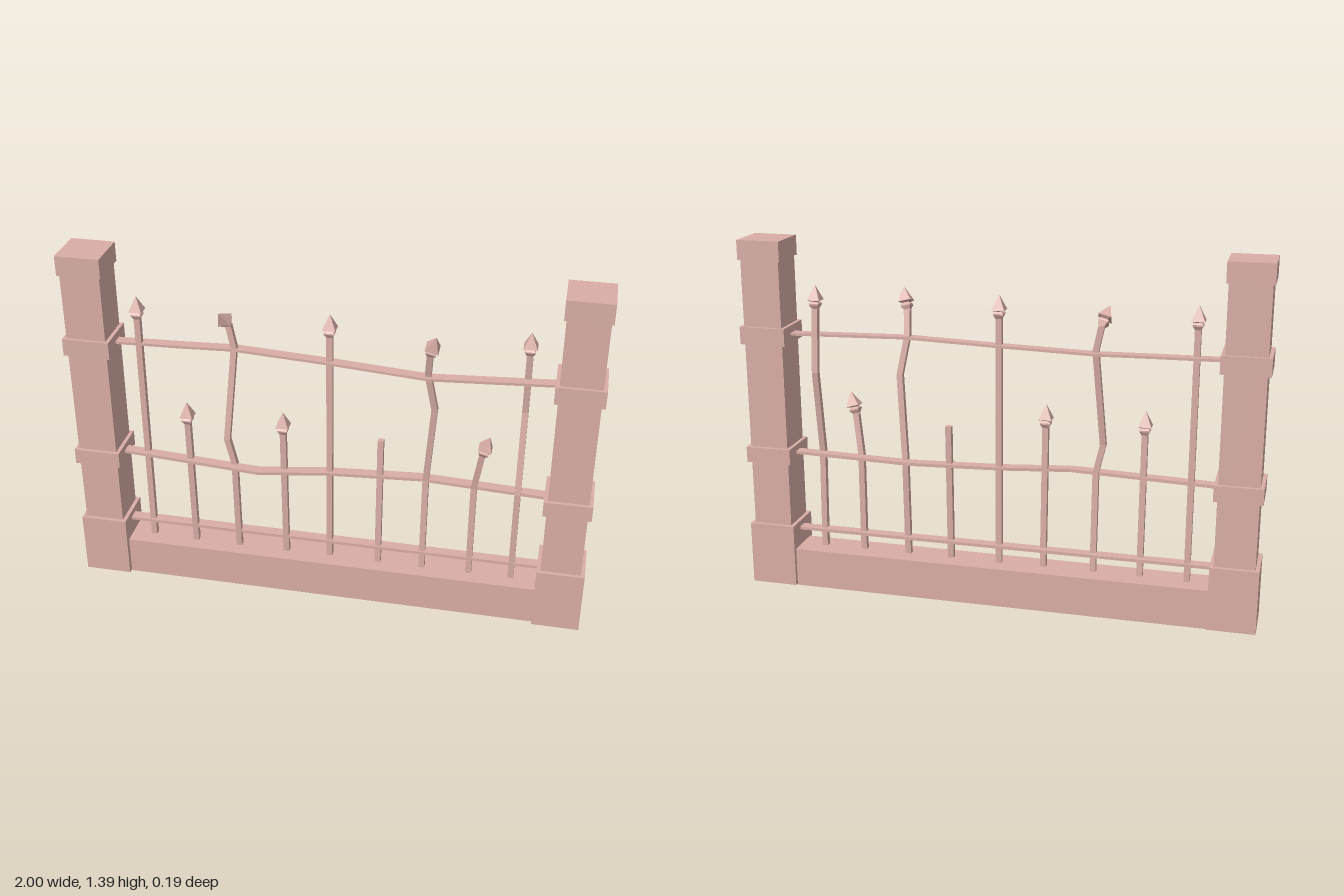
import * as THREE from 'three';

const material = new THREE.MeshStandardMaterial({ color: 0xd9aea6, flatShading: true, side: THREE.DoubleSide });

function add(parent, geometry, name) {
  const mesh = new THREE.Mesh(geometry, material);
  mesh.name = name;
  parent.add(mesh);
  return mesh;
}

// Box between two heights, optionally without its underside
function block(parent, name, w, d, y0, y1, z, open = false) {
  const g = new THREE.BoxGeometry(w, y1 - y0, d);
  if (open) {
    const index = Array.from(g.index.array);
    index.splice(18, 6);
    g.setIndex(index);
  }
  const mesh = add(parent, g, name);
  mesh.position.set(0, (y0 + y1) / 2, z);
  return mesh;
}

// Upright square bar bent through points [x, y, z]
function bentPost(points, w) {
  const n = points.length - 1;
  const g = new THREE.BoxGeometry(w, 1, w, 1, n, 1);
  const p = g.attributes.position;
  for (let i = 0; i < p.count; i++) {
    const [x, y, z] = points[Math.round((p.getY(i) + 0.5) * n)];
    p.setXYZ(i, p.getX(i) + x, y, p.getZ(i) + z);
  }
  g.computeVertexNormals();
  return g;
}

// Flat strip running along x, bent through points [x, z]
function bentRail(points, y, h, w) {
  const n = points.length - 1;
  const g = new THREE.BoxGeometry(1, h, w, n, 1, 1);
  const p = g.attributes.position;
  for (let i = 0; i < p.count; i++) {
    const [x, z] = points[Math.round((p.getX(i) + 0.5) * n)];
    p.setXYZ(i, x, p.getY(i) + y, p.getZ(i) + z);
  }
  g.computeVertexNormals();
  return g;
}

// Four-sided spearhead: flared collar, neck and pyramid, one unit tall
function spearhead(length) {
  const profile = [[0.011, 0], [0.019, 0.16], [0.019, 0.22], [0.012, 0.3], [0.025, 0.36], [0, 1]]
    .map(([r, t]) => new THREE.Vector2(r * Math.SQRT2, t * length));
  return new THREE.LatheGeometry(profile, 4).rotateY(Math.PI / 4);
}

export function createModel() {
  const model = new THREE.Group();
  model.name = 'brokenFence';

  // Pillars
  for (const [side, label] of [[1, 'left'], [-1, 'right']]) {
    const pillar = new THREE.Group();
    pillar.name = label + 'Pillar';
    pillar.position.set(side * 0.909, 0, -0.004);
    block(pillar, 'pillarBase', 0.182, 0.184, 0.005, 0.255, 0, true);
    block(pillar, 'pillarShaft', 0.152, 0.155, 0.25, 1.32, 0);
    block(pillar, 'lowerBand', 0.18, 0.182, 0.513, 0.575, 0);
    block(pillar, 'upperBand', 0.18, 0.177, 0.988, 1.056, 0);
    block(pillar, 'pillarCap', 0.168, 0.172, 1.312, 1.388, 0);
    model.add(pillar);
  }

  // Low wall
  block(model, 'lowWall', 1.64, 0.146, 0, 0.155, -0.007, true);

  // Rails
  const rails = [
    ['bottomRail', 0.225, 0.012, [[-0.83, -0.007], [0.83, -0.007]]],
    ['middleRail', 0.545, 0.012, [[-0.83, -0.005], [-0.27, 0.045], [0, -0.005], [0.35, -0.037], [0.83, -0.007]]],
    ['topRail', 1.022, 0.01, [[-0.83, -0.01], [-0.56, -0.025], [-0.37, -0.04], [0, -0.005], [0.37, 0.04], [0.83, -0.007]]],
  ];
  for (const [name, y, h, points] of rails) add(model, bentRail(points, y, h, 0.042), name);

  // Posts: path of the bar, then the tip of the spearhead (none on the broken one)
  const posts = [
    { path: [[-0.73, 0.15, -0.007], [-0.73, 1.125, -0.007]], tip: [-0.73, 1.215, -0.007] },
    { path: [[-0.55, 0.15, 0], [-0.55, 0.71, 0.02]], tip: [-0.55, 0.803, 0.023] },
    {
      path: [[-0.37, 0.15, 0], [-0.37, 0.55, 0.018], [-0.395, 0.66, 0.02], [-0.368, 1.03, -0.03], [-0.388, 1.125, -0.033]],
      tip: [-0.408, 1.19, 0.025],
    },
    { path: [[-0.175, 0.15, 0], [-0.175, 0.71, 0.02]], tip: [-0.175, 0.803, 0.023] },
    { path: [[0, 0.15, -0.005], [0, 1.125, -0.005]], tip: [0, 1.215, -0.005] },
    { path: [[0.195, 0.15, 0], [0.193, 0.7, -0.022]] },
    {
      path: [[0.37, 0.15, 0], [0.37, 0.55, -0.015], [0.395, 0.88, 0.015], [0.368, 1.03, 0.035], [0.375, 1.125, 0.06]],
      tip: [0.397, 1.208, 0.088],
    },
    { path: [[0.555, 0.15, 0], [0.555, 0.55, 0], [0.58, 0.71, 0.022]], tip: [0.605, 0.795, 0.033] },
    {
      path: [[0.72, 0.15, -0.003], [0.72, 0.55, 0.012], [0.72, 0.88, -0.035], [0.72, 1.125, -0.01]],
      tip: [0.72, 1.215, -0.005],
    },
  ];
  const up = new THREE.Vector3(0, 1, 0);
  posts.forEach(({ path, tip }, i) => {
    const post = new THREE.Group();
    post.name = 'post' + (i + 1);
    add(post, bentPost(path, 0.023), 'bar');
    if (tip) {
      const base = new THREE.Vector3(...path[path.length - 1]);
      const dir = new THREE.Vector3(...tip).sub(base);
      const head = add(post, spearhead(dir.length()), 'spearhead');
      head.position.copy(base);
      head.quaternion.setFromUnitVectors(up, dir.normalize());
    }
    model.add(post);
  });

  return model;
}
